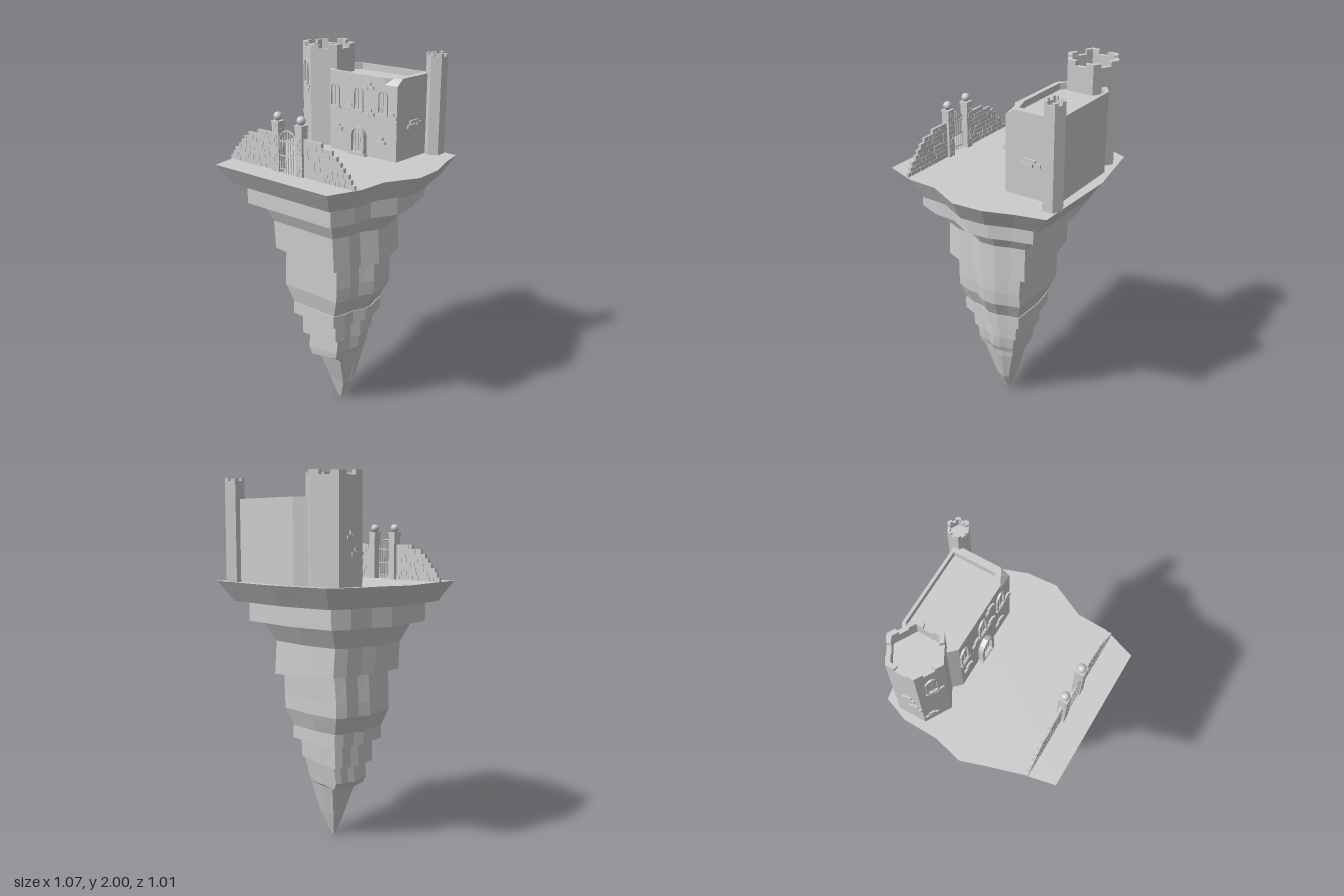
import * as THREE from 'three';

const mat = new THREE.MeshStandardMaterial({ color: 0xcccccc, flatShading: true });
const smoothMat = new THREE.MeshStandardMaterial({ color: 0xcccccc });
const GROUND = 1.44;

let seed = 7;
const rnd = () => (seed = (seed * 16807) % 2147483647) / 2147483647;

function add(parent, name, geo, x = 0, y = 0, z = 0, m = mat) {
  const mesh = new THREE.Mesh(geo, m);
  mesh.name = name;
  mesh.position.set(x, y, z);
  parent.add(mesh);
  return mesh;
}
const box = (parent, name, w, h, d, x, y, z) => add(parent, name, new THREE.BoxGeometry(w, h, d), x, y, z);

function group(parent, name, x = 0, y = 0, z = 0, ry = 0) {
  const g = new THREE.Group();
  g.name = name;
  g.position.set(x, y, z);
  g.rotation.y = ry;
  parent.add(g);
  return g;
}

// Skin over loops of [x, y, z], clockwise from above and listed upwards, capped at both ends
function loft(loops) {
  const pos = [], n = loops[0].length;
  const tri = (...pts) => pts.forEach(p => pos.push(...p));
  const centre = loop => [0, 1, 2].map(k => loop.reduce((s, p) => s + p[k], 0) / n);
  const last = loops[loops.length - 1];
  const c0 = centre(loops[0]), c1 = centre(last);
  for (let i = 0; i < n; i++) {
    const j = (i + 1) % n;
    for (let k = 0; k + 1 < loops.length; k++) {
      const lo = loops[k], up = loops[k + 1];
      tri(lo[j], lo[i], up[i]);
      tri(lo[j], up[i], up[j]);
    }
    tri(c0, loops[0][i], loops[0][j]);
    tri(c1, last[j], last[i]);
  }
  const geo = new THREE.BufferGeometry();
  geo.setAttribute('position', new THREE.Float32BufferAttribute(pos, 3));
  geo.computeVertexNormals();
  return geo;
}
const level = (pts, y) => pts.map(([x, z]) => [x, y, z]);

// Floating rock: one outline fitted to the bounds of each stratum
const OUTLINE = [[-0.44, -0.44], [-0.08, -0.505], [0.427, -0.49], [0.465, -0.34], [0.52, -0.185],
  [0.532, -0.02], [0.443, 0.16], [0.437, 0.325], [0.375, 0.5], [-0.407, 0.497], [-0.44, 0.335],
  [-0.493, 0.16], [-0.535, 0.03], [-0.495, -0.12], [-0.49, -0.31]];

function stratum([y, x0, x1, z0, z1, tilt = 0]) {
  return OUTLINE.map(([x, z]) => {
    const px = x0 + (x + 0.535) / 1.067 * (x1 - x0);
    return [px, y + tilt * px, z0 + (z + 0.505) / 1.005 * (z1 - z0)];
  });
}
const STRATA = [
  [0, 0.015, 0.04, -0.008, 0.008], [0.12, -0.03, 0.1, -0.045, 0.04], [0.3, -0.075, 0.14, -0.09, 0.1],
  [0.31, -0.1, 0.145, -0.1, 0.135, 0.2], [0.35, -0.125, 0.16, -0.105, 0.14, 0.15],
  [0.44, -0.12, 0.17, -0.12, 0.14, 0.08], [0.44, -0.155, 0.18, -0.135, 0.165, 0.08],
  [0.56, -0.155, 0.18, -0.14, 0.165], [0.56, -0.195, 0.215, -0.175, 0.205],
  [0.63, -0.195, 0.215, -0.175, 0.205], [0.63, -0.195, 0.21, -0.17, 0.2],
  [0.73, -0.25, 0.26, -0.205, 0.22], [0.81, -0.25, 0.265, -0.205, 0.22],
  [0.94, -0.24, 0.26, -0.21, 0.22, -0.07], [0.94, -0.285, 0.295, -0.255, 0.265, -0.07],
  [1.11, -0.295, 0.285, -0.25, 0.265], [1.22, -0.35, 0.345, -0.315, 0.315],
  [1.22, -0.405, 0.405, -0.365, 0.375], [1.33, -0.405, 0.405, -0.365, 0.375],
  [1.33, -0.465, 0.465, -0.43, 0.43], [GROUND, -0.535, 0.532, -0.505, 0.5]];

// Hexagonal tower with a sunken top and a merlon on every corner
function tower(parent, name, cx, cz, r, inner, top, notch, sink) {
  const g = group(parent, name, cx, 0, cz);
  const hex = R => Array.from({ length: 6 }, (_, i) => [R * Math.sin(i * Math.PI / 3), -R * Math.cos(i * Math.PI / 3)]);
  const P = hex(r), Q = hex(inner), y = top - notch;
  add(g, name + 'Body', loft([level(P, GROUND), level(P, y), level(Q, y), level(Q, y - sink)]));
  const mix = (L, i, j) => [0, 1].map(k => L[i][k] * 0.7 + L[j][k] * 0.3);
  for (let i = 0; i < 6; i++) {
    const a = (i + 5) % 6, b = (i + 1) % 6;
    const m = [mix(P, i, a), P[i], mix(P, i, b), mix(Q, i, b), Q[i], mix(Q, i, a)];
    add(g, 'merlon', loft([level(m, y), level(m, top - (i % 2) * 0.005)]));
  }
  return g;
}

function arch(path, w, h) {
  const s = h - w * 0.65;
  path.moveTo(-w / 2, 0);
  path.lineTo(w / 2, 0);
  path.lineTo(w / 2, s);
  path.quadraticCurveTo(w / 2, h - w * 0.15, 0, h);
  path.quadraticCurveTo(-w / 2, h - w * 0.15, -w / 2, s);
  path.closePath();
  return path;
}

// Arched frame standing proud of a wall that faces local +z
function archFrame(g, w, h, t, depth) {
  const shape = arch(new THREE.Shape(), w, h);
  const hole = new THREE.Path();
  hole.setFromPoints(arch(new THREE.Path(), w - 2 * t, h - 2 * t).getPoints(5).map(p => p.add(new THREE.Vector2(0, t))));
  shape.holes.push(hole);
  add(g, 'frame', new THREE.ExtrudeGeometry(shape, { depth, bevelEnabled: false, curveSegments: 5 }));
}
function archWindow(parent, x, y, z, w, h, ry = 0) {
  const g = group(parent, 'window', x, y, z, ry);
  archFrame(g, w, h, 0.01, 0.009);
  box(g, 'mullion', 0.004, h - 0.02, 0.004, 0, h / 2, 0.002);
  box(g, 'sill', w + 0.008, 0.01, 0.012, 0, 0, 0.006);
}

// Small cluster of raised stones on a wall
function stones(parent, x, y, z, ry = 0, layout = [[0, 0], [0.035, 0.003], [0.018, 0.022]]) {
  const g = group(parent, 'raisedStones', x, y, z, ry);
  layout.forEach(([u, v]) => box(g, 'stone', 0.034, 0.018, 0.016, u - 0.018, v, 0));
}

function castle(parent) {
  const g = group(parent, 'castle');
  const base = [[-0.27, -0.4], [-0.2, -0.45], [0.273, -0.45], [0.273, -0.2], [0.273, -0.155],
    [0.19, -0.155], [-0.185, -0.155], [-0.23, -0.2]];
  const rim = base.map((p, i) => (i === 4 ? [0.2315, -0.1775] : p));
  const inner = [[-0.24, -0.385], [-0.19, -0.435], [0.235, -0.435], [0.235, -0.208], [0.19, -0.194],
    [0.145, -0.18], [-0.18, -0.18], [-0.21, -0.21]];
  add(g, 'hall', loft([level(base, GROUND), level(base, 1.84), level(rim, 1.875), level(inner, 1.875), level(inner, 1.84)]));
  tower(g, 'largeTower', -0.319, -0.289, 0.148, 0.122, 2, 0.025, 0.06);
  tower(g, 'smallTower', 0.306, -0.449, 0.057, 0.042, 1.985, 0.018, 0.03);

  [-0.15, 0.015, 0.18].forEach(x => archWindow(g, x, 1.68, -0.155, 0.068, 0.135));
  archWindow(g, -0.383, 1.775, -0.178, 0.066, 0.14, -Math.PI / 6);

  // Door
  const door = group(g, 'door', 0.02, GROUND, -0.155);
  archFrame(door, 0.105, 0.165, 0.018, 0.027);
  add(door, 'doorLeaf', new THREE.ExtrudeGeometry(arch(new THREE.Shape(), 0.085, 0.145), { depth: 0.008, bevelEnabled: false, curveSegments: 5 }));
  for (let i = -1; i <= 1; i++) box(door, 'plankBatten', 0.003, 0.11, 0.004, i * 0.018, 0.065, 0.01);
  box(door, 'doorStep', 0.12, 0.01, 0.028, 0, 0.005, 0.014);

  // Raised stones on the walls
  [[0.085, 1.81], [-0.045, 1.685], [0.24, 1.67], [-0.13, 1.56], [0.17, 1.53], [0.09, 1.67]]
    .forEach(([x, y]) => stones(g, x, y, -0.153));
  stones(g, 0.275, 1.615, -0.31, Math.PI / 2, [[-0.03, 0], [0.006, 0], [0.05, 0.006], [0.022, 0.022], [-0.012, 0.022]]);
  stones(g, -0.447, 1.68, -0.28, -Math.PI / 2);
  stones(g, -0.447, 1.6, -0.25, -Math.PI / 2);
  stones(g, -0.35, 1.745, -0.159, -Math.PI / 6, [[0, 0], [0.02, 0.02]]);
  stones(g, -0.41, 1.5, -0.193, -Math.PI / 6);
}

// Brick walls that step down away from the gate
const ROW = 0.0243;
const ROW_ENDS = [0.43, 0.41, 0.395, 0.365, 0.345, 0.32, 0.29, 0.22];
function gardenWall(parent, name, side, shift) {
  const g = group(parent, name, shift, GROUND, 0.352);
  ROW_ENDS.forEach((end, r) => {
    let x = 0.1;
    while (x < end - 0.004) {
      let w = Math.min(0.026 + rnd() * 0.02, end - x);
      if (end - x - w < 0.012) w = end - x;
      box(g, 'brick', w - 0.002, ROW - 0.002, 0.014 + rnd() * 0.004, side * (x + w / 2), (r + 0.5) * ROW, 0);
      x += w;
    }
    box(g, 'mortar', end - 0.104, ROW, 0.012, side * (0.1 + end - 0.004) / 2, (r + 0.5) * ROW, 0);
  });
}

function gatePillar(parent, x) {
  const g = group(parent, 'gatePillar', x, GROUND, 0.352);
  box(g, 'pillarCore', 0.04, 0.25, 0.04, 0, 0.125, 0);
  for (let i = 0; i < 10; i++) {
    const split = i % 2 ? 0.007 : -0.007, a = 0.0225 + split, b = 0.0225 - split;
    box(g, 'pillarStone', a - 0.001, 0.023, 0.046, -0.0225 + a / 2, i * 0.025 + 0.0125, 0);
    box(g, 'pillarStone', b - 0.001, 0.023, 0.044, 0.0225 - b / 2, i * 0.025 + 0.0125, 0);
  }
  box(g, 'pillarCap', 0.049, 0.012, 0.049, 0, 0.256, 0);
  add(g, 'pillarBall', new THREE.SphereGeometry(0.023, 16, 12), 0, 0.283, 0, smoothMat);
}

// Barred gate with an arched top
function gate(parent) {
  const g = group(parent, 'gate', -0.005, GROUND, 0.366);
  const R = 0.056, spring = 0.165;
  for (let i = -3; i <= 3; i++) {
    const x = i * 0.018, h = spring + Math.sqrt(R * R - x * x) - 0.005;
    add(g, 'gateBar', new THREE.CylinderGeometry(0.003, 0.003, h, 6), x, h / 2, 0);
  }
  [0.02, 0.09, spring].forEach(y => box(g, 'gateRail', 2 * R, 0.006, 0.006, 0, y, 0));
  add(g, 'gateArch', new THREE.TorusGeometry(R, 0.004, 6, 14, Math.PI), 0, spring, 0);
}

export function createModel() {
  const model = new THREE.Group();
  model.name = 'floatingCastle';
  add(model, 'floatingRock', loft(STRATA.map(stratum)));
  castle(model);
  gardenWall(model, 'rightGardenWall', -1, -0.01);
  gardenWall(model, 'leftGardenWall', 1, -0.005);
  [-0.085, 0.075].forEach(x => gatePillar(model, x));
  gate(model);
  return model;
}
